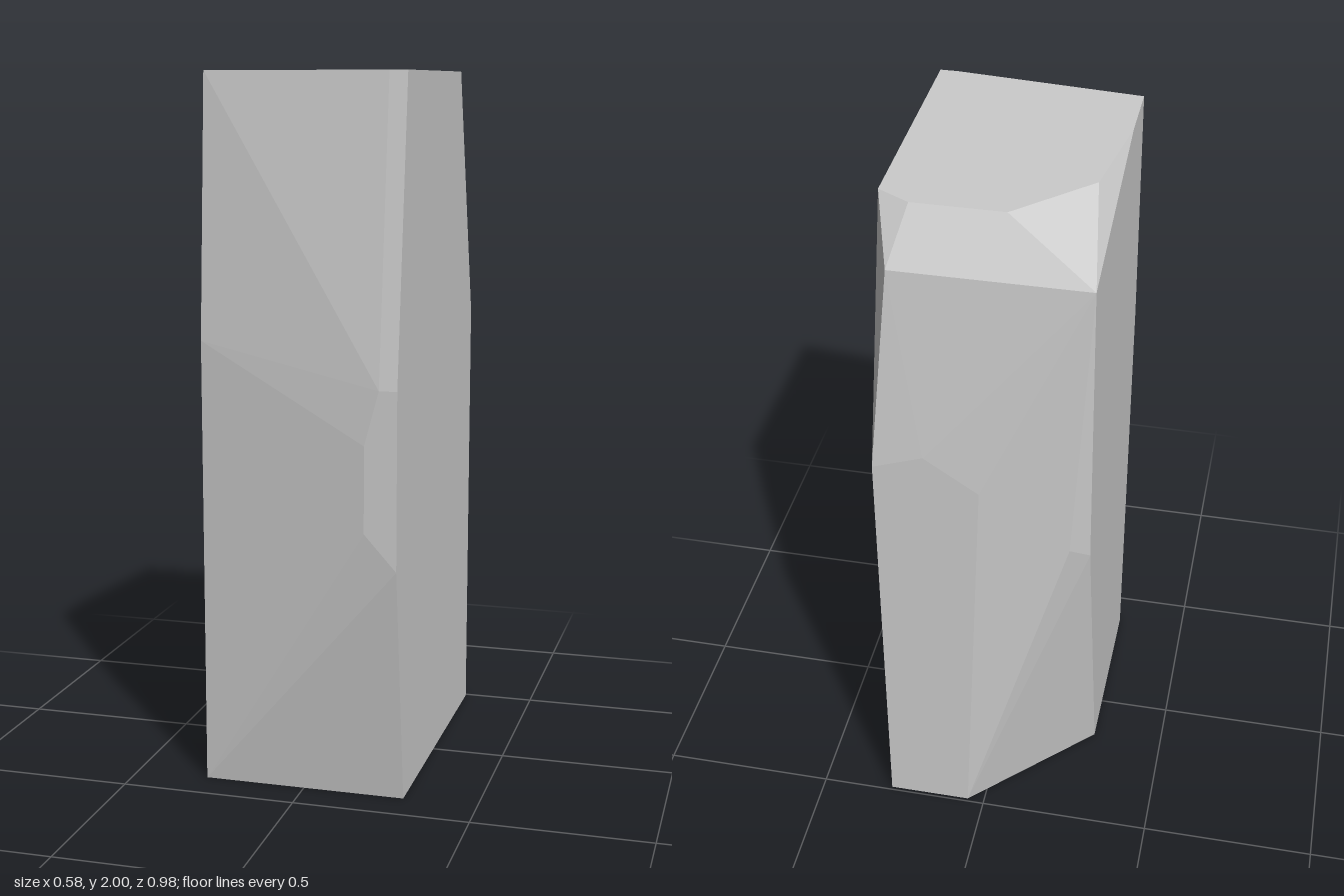
import * as THREE from 'three';
import { ConvexGeometry } from 'three/addons/geometries/ConvexGeometry.js';

// Faceted stone block: flat sides with chipped front, back and top edges
export function createModel() {
  const group = new THREE.Group();
  group.name = 'stoneBlock';

  const corners = {
    // flat base outline
    base: [
      [-0.29, 0, 0.39], [0.29, 0, 0.39], [0.29, 0, -0.49],
      [0.05, 0, -0.49], [-0.29, 0, -0.15],
    ],
    // bulge of the front face
    front: [
      [0.29, 0.68, 0.49], [0.2, 0.78, 0.49], [0.2, 1.02, 0.49],
      [0.24, 1.17, 0.49], [0.29, 1.17, 0.49], [-0.29, 1.27, 0.39],
    ],
    // chipped back face
    back: [
      [0.29, 1.27, -0.49], [0.15, 1.32, -0.49], [0, 1.22, -0.49],
      [-0.24, 1.02, -0.44], [-0.29, 0.97, -0.39],
    ],
    // bevel below the rear top edge
    bevel: [[0.24, 1.86, -0.44], [-0.29, 1.86, -0.44]],
    // flat top outline
    top: [
      [-0.29, 2, 0.34], [0.24, 2, 0.39], [0.29, 2, 0.39], [0.29, 2, -0.29],
      [0.2, 2, -0.34], [-0.05, 2, -0.34], [-0.245, 2, -0.15], [-0.29, 2, 0.15],
    ],
  };

  const points = Object.values(corners).flat().map((p) => new THREE.Vector3(...p));
  const stone = new THREE.Mesh(
    new ConvexGeometry(points),
    new THREE.MeshStandardMaterial({ color: 0xcccccc, flatShading: true })
  );
  stone.name = 'stone';
  group.add(stone);
  return group;
}
